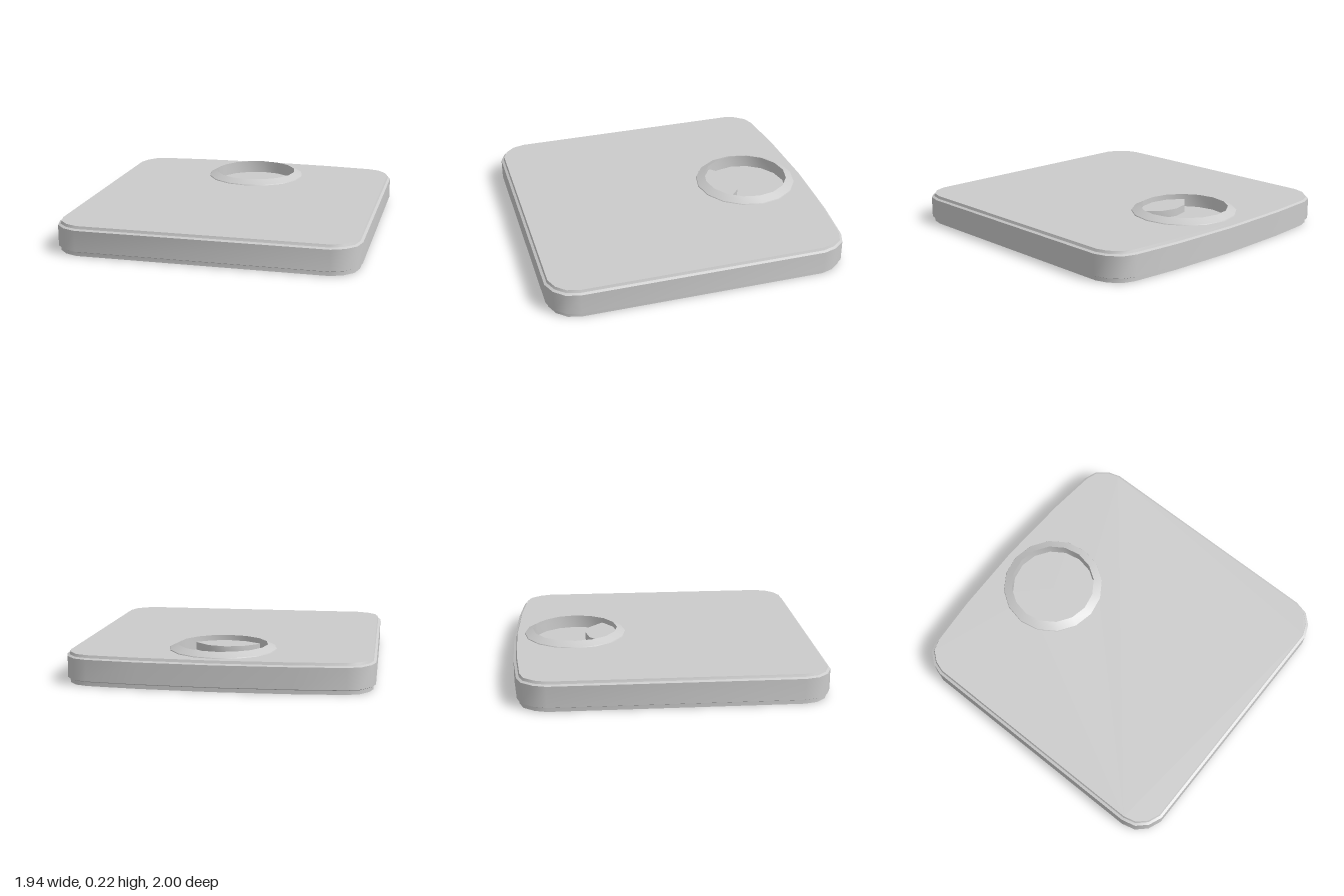
import * as THREE from 'three';
import { toCreasedNormals } from 'three/addons/utils/BufferGeometryUtils.js';

const material = new THREE.MeshStandardMaterial({ color: 0xcccccc });
const SIDES = 16, HOLE = 0.285, RIM = 0.345, DIAL_Z = -0.585, FLOOR = 0.14, TOP = 0.193;

// right half of the plan outline [x, z], front to back, mirrored to the left
const half = [[0.8, 1], [0.885, 0.965], [0.947, 0.9], [0.97, 0.81],
  [0.97, -0.77], [0.945, -0.85], [0.885, -0.925], [0.8, -0.955], [0.48, -0.984]];
const outline = [...half, [0, -1], ...half.map(([x, z]) => [-x, z]).reverse()]
  .map(([x, z]) => new THREE.Vector2(x, z));

// outline moved inwards by d
function inset(d) {
  const n = outline.length;
  const normal = (a, b) => new THREE.Vector2(a.y - b.y, b.x - a.x).normalize();
  return outline.map((p, i) => {
    const n1 = normal(outline[(i + n - 1) % n], p), n2 = normal(p, outline[(i + 1) % n]);
    const m = n1.clone().add(n2).normalize();
    return p.clone().addScaledVector(m, -d / m.dot(n1));
  });
}

// wall through a stack of [inset, height] loops
function wall(levels) {
  const n = outline.length, position = [], index = [];
  levels.forEach(([d, y]) => inset(d).forEach(p => position.push(p.x, y, p.y)));
  for (let l = 0; l < levels.length - 1; l++) {
    for (let i = 0; i < n; i++) {
      const a = l * n + i, b = l * n + (i + 1) % n;
      index.push(a, b, b + n, a, b + n, a + n);
    }
  }
  const g = new THREE.BufferGeometry();
  g.setAttribute('position', new THREE.Float32BufferAttribute(position, 3));
  g.setIndex(index);
  return toCreasedNormals(g, 0.6);
}

function add(group, name, geometry) {
  const mesh = new THREE.Mesh(geometry, material);
  mesh.name = name;
  group.add(mesh);
  return mesh;
}

// point on the dial polygon; 0 is the front
const dialPoint = (i, r) => {
  const a = i * 2 * Math.PI / SIDES;
  return new THREE.Vector2(Math.sin(a) * r, -Math.cos(a) * r);
};

export function createModel() {
  const model = new THREE.Group();
  model.name = 'bathroomScale';

  // base and body sides
  add(model, 'base', wall([[0.015, 0], [0.015, 0.025], [0, 0.032]]));
  add(model, 'bodySide', wall([[0, 0.032], [0, 0.168], [0.016, 0.176], [0.022, TOP]]));
  add(model, 'underside', new THREE.ShapeGeometry(new THREE.Shape(inset(0.015))).rotateX(Math.PI / 2));

  // top platform with an opening for the dial
  const plate = new THREE.Shape(inset(0.022).map(p => new THREE.Vector2(p.x, -p.y)));
  const hole = Array.from({ length: SIDES }, (_, i) =>
    dialPoint(i, 0.31).add(new THREE.Vector2(0, -DIAL_Z)));
  plate.holes.push(new THREE.Path(hole));
  add(model, 'platform', new THREE.ShapeGeometry(plate).rotateX(-Math.PI / 2)).position.y = TOP;

  // dial: sloped rim, well, floor and raised crescent
  const dial = new THREE.Group();
  dial.name = 'dial';
  dial.position.z = DIAL_Z;
  model.add(dial);
  const profile = [[RIM, 0.19], [RIM - 0.004, 0.198], [HOLE, 0.225], [HOLE, FLOOR]]
    .map(([r, y]) => new THREE.Vector2(r, y));
  add(dial, 'dialRim', toCreasedNormals(new THREE.LatheGeometry(profile, SIDES), 0.6));
  add(dial, 'dialFloor', new THREE.CircleGeometry(HOLE, SIDES).rotateX(-Math.PI / 2)).position.y = FLOOR;

  const crescent = new THREE.Shape([
    ...[[0.21, -0.187], [0.11, -0.095], [0, -0.07], [-0.11, -0.095], [-0.21, -0.187]]
      .map(([x, y]) => new THREE.Vector2(x, y)),
    ...[-2, -1, 0, 1, 2].map(i => dialPoint(i, HOLE)),
  ]);
  const block = new THREE.ExtrudeGeometry(crescent, { depth: 0.05, bevelEnabled: false });
  add(dial, 'dialCrescent', toCreasedNormals(block.rotateX(-Math.PI / 2), 0.6)).position.y = FLOOR;

  return model;
}
